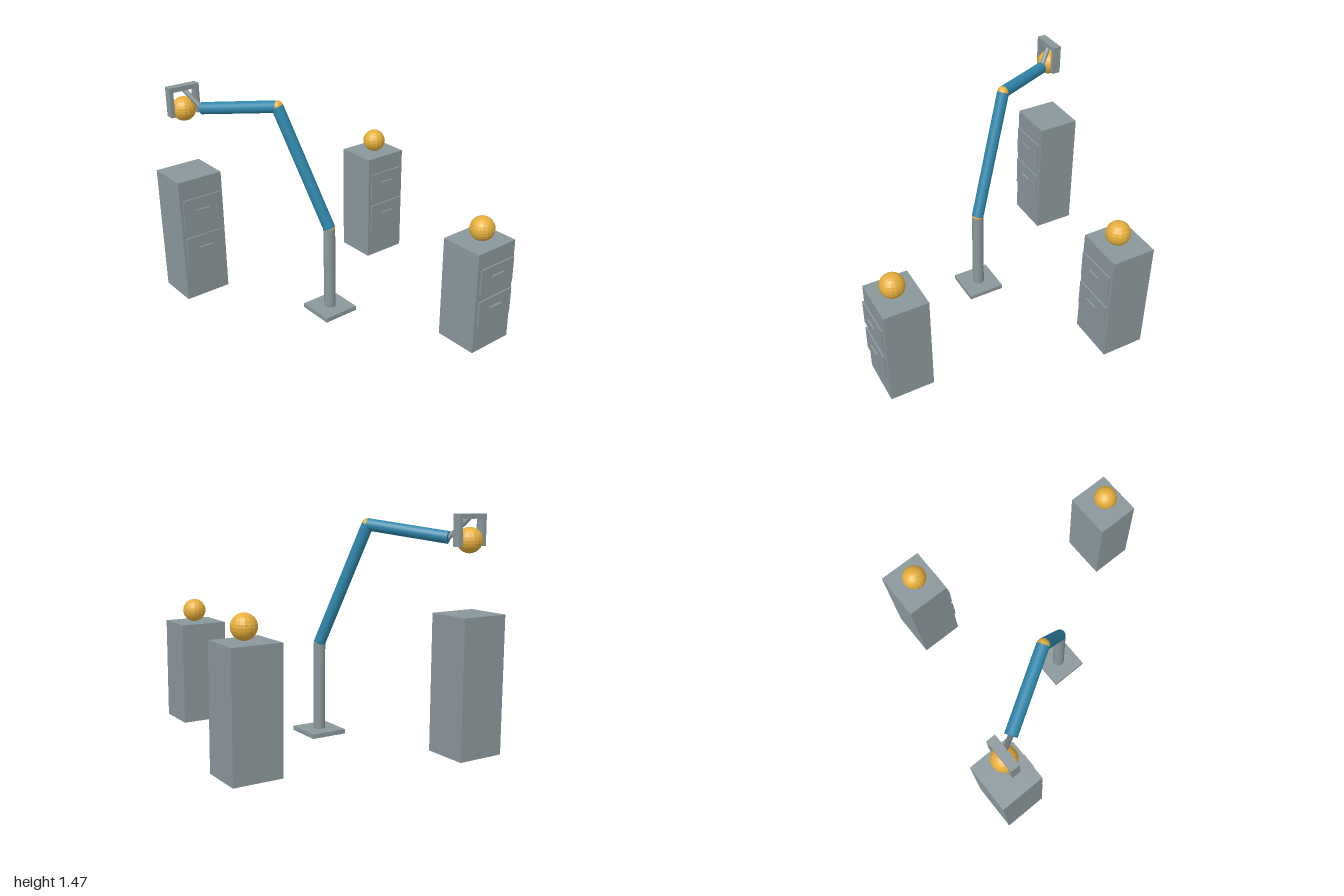
import * as THREE from 'three';

const metal = new THREE.MeshStandardMaterial({ color: 0x8a979b });
metal.name = 'grey metal';
const blue = new THREE.MeshStandardMaterial({ color: 0x2e86ab });
blue.name = 'arm blue';
const amber = new THREE.MeshStandardMaterial({ color: 0xe5ae3c, flatShading: true });
amber.name = 'amber';

function add(parent, name, geometry, material, x, y, z) {
  const mesh = new THREE.Mesh(geometry, material);
  mesh.name = name;
  mesh.position.set(x, y, z);
  parent.add(mesh);
  return mesh;
}

const box = (parent, name, w, h, d, x, y, z) =>
  add(parent, name, new THREE.BoxGeometry(w, h, d), metal, x, y, z);

const ball = (parent, name, r, p) =>
  add(parent, name, new THREE.SphereGeometry(r, 16, 12), amber, p.x, p.y, p.z);

// Cylinder running from point a to point b
function rod(parent, name, a, b, r, material) {
  const dir = b.clone().sub(a);
  const mid = a.clone().add(b).multiplyScalar(0.5);
  const mesh = add(parent, name, new THREE.CylinderGeometry(r, r, dir.length(), 24), material, mid.x, mid.y, mid.z);
  mesh.quaternion.setFromUnitVectors(new THREE.Vector3(0, 1, 0), dir.normalize());
}

// Cabinet with two drawer fronts standing just clear of its face
function cabinet(name, x, z, h) {
  const group = new THREE.Group();
  group.name = name;
  group.position.set(x, 0, z);
  const depth = 0.29, front = depth / 2;
  box(group, 'cabinetBody', 0.32, h, depth, 0, h / 2, 0);
  [0.407, 0.725].forEach((level) => {
    box(group, 'drawerFront', 0.285, h * 0.25, 0.01, 0, h * level, front + 0.013);
    box(group, 'drawerHandle', 0.097, 0.013, 0.013, 0, h * (level + 0.023), front + 0.0235);
  });
  return group;
}

export function createModel() {
  const model = new THREE.Group();
  model.name = 'robotArmWithCabinets';

  // Cabinets
  const tall = cabinet('tallCabinet', -0.682, -0.855, 0.87);
  const middle = cabinet('middleCabinet', 0.678, -0.545, 0.778);
  const short = cabinet('shortCabinet', 0.363, 0.82, 0.69);
  model.add(tall, middle, short);

  // Balls resting on the cabinets
  ball(model, 'middleBall', 0.079, new THREE.Vector3(0.677, 0.858, -0.53));
  ball(model, 'shortBall', 0.079, new THREE.Vector3(0.363, 0.768, 0.835));

  // Arm
  const arm = new THREE.Group();
  arm.name = 'robotArm';
  model.add(arm);
  const r = 0.039;
  const floor = new THREE.Vector3(-0.16, 0.02, 0);
  const shoulder = new THREE.Vector3(-0.16, 0.61, 0);
  const elbow = new THREE.Vector3(-0.336, 1.395, -0.285);
  const wrist = new THREE.Vector3(-0.61, 1.325, -0.737);
  const hand = new THREE.Vector3(-0.68, 1.445, -0.838);
  box(arm, 'basePlate', 0.25, 0.03, 0.25, -0.16, 0.015, 0);
  rod(arm, 'column', floor, shoulder, r, metal);
  rod(arm, 'upperArm', shoulder, elbow, r, blue);
  rod(arm, 'forearm', elbow, wrist, r, blue);
  ball(arm, 'shoulderJoint', r, shoulder);
  ball(arm, 'elbowJoint', r, elbow);

  // Gripper holding a ball
  const gripper = new THREE.Group();
  gripper.name = 'gripper';
  arm.add(gripper);
  rod(gripper, 'wristLink', wrist, hand, 0.016, metal);
  box(gripper, 'gripperBar', 0.21, 0.03, 0.058, -0.683, 1.454, -0.842);
  [-1, 1].forEach((side) =>
    box(gripper, 'gripperFinger', 0.025, 0.165, 0.058, -0.683 + side * 0.0925, 1.357, -0.842));
  ball(gripper, 'heldBall', 0.079, new THREE.Vector3(-0.683, 1.312, -0.842));

  return model;
}
